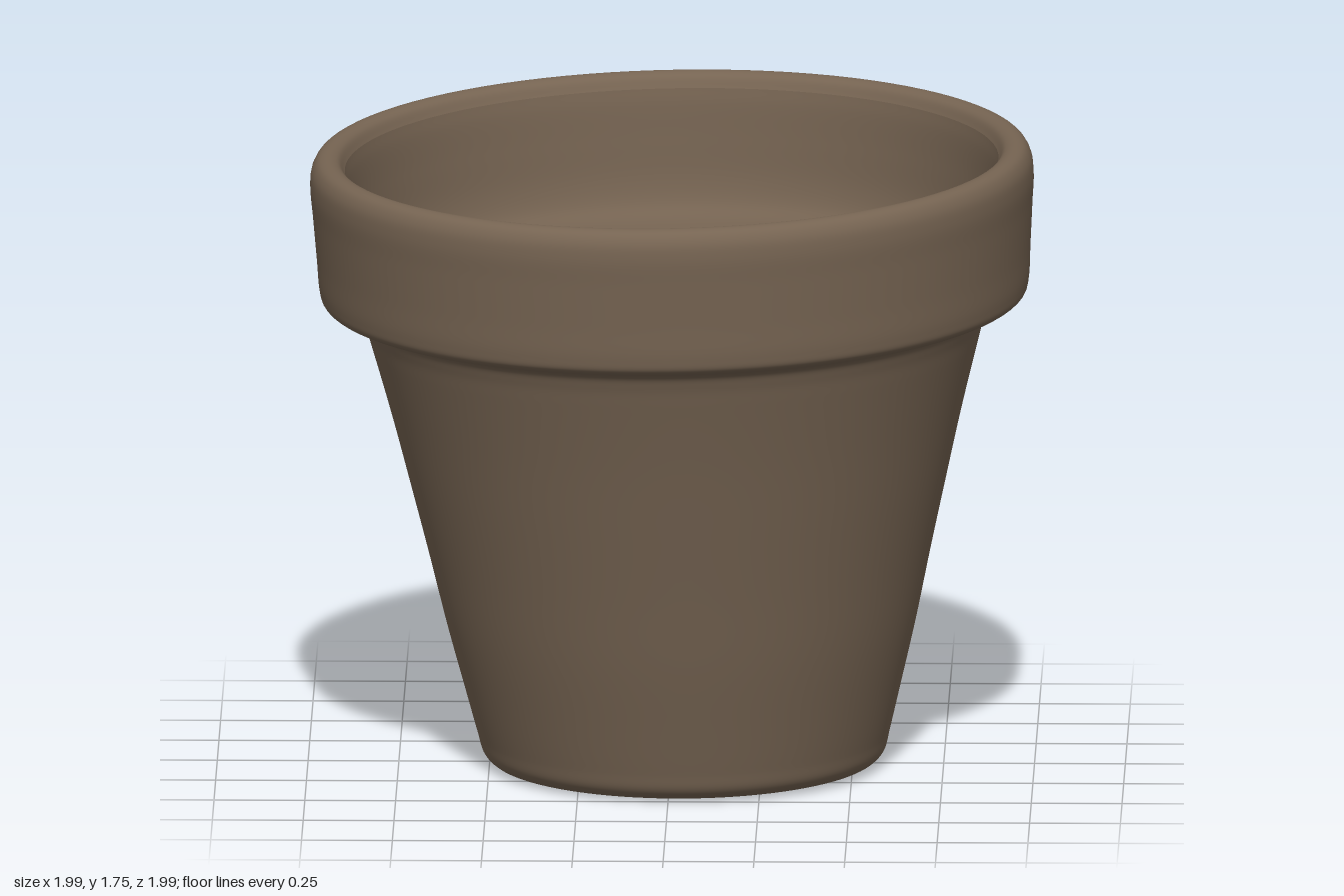
import * as THREE from 'three';

export function createModel() {
  const group = new THREE.Group();
  group.name = 'flowerPot';
  const clay = new THREE.MeshStandardMaterial({ color: 0x766452 });
  clay.name = 'brown clay';

  // Smooth profile through [radius, height] points
  const smooth = (pts, n) =>
    new THREE.CatmullRomCurve3(pts.map(([r, y]) => new THREE.Vector3(r, y, 0)))
      .getPoints(n).map(p => new THREE.Vector2(p.x, p.y));

  // Turn a profile, then lean it slightly as if shaped by hand
  const turned = (name, profile) => {
    const geo = new THREE.LatheGeometry(profile, 96);
    const pos = geo.attributes.position;
    for (let i = 0; i < pos.count; i++) {
      const x = pos.getX(i), y = pos.getY(i), z = pos.getZ(i);
      const t = y / 1.73;
      pos.setXYZ(i,
        x + 0.036 * (1 - t),
        y + x * (0.007 + 0.014 * t) - z * 0.012 * t,
        z - 0.022 * (1 - t) - 0.004 * t);
    }
    const mesh = new THREE.Mesh(geo, clay);
    mesh.name = name;
    group.add(mesh);
  };

  // Underside with a shallow recess around the drain hole
  turned('underside', smooth([
    [0.105, 0.035], [0.2, 0.035], [0.34, 0.033], [0.38, 0.022], [0.42, 0.01],
    [0.46, 0.006], [0.5, 0.007]], 40));

  // Tapered outer wall, collar and rounded lip
  turned('outerWallAndRim', smooth([
    [0.5, 0.007], [0.53, 0.016], [0.553, 0.04], [0.567, 0.09], [0.6, 0.22],
    [0.645, 0.4], [0.69, 0.6], [0.737, 0.8], [0.785, 1.0], [0.835, 1.19],
    [0.852, 1.25], [0.868, 1.285], [0.9, 1.303], [0.945, 1.312], [0.969, 1.328],
    [0.977, 1.36], [0.983, 1.45], [0.991, 1.57], [0.996, 1.65], [0.99, 1.695],
    [0.972, 1.722], [0.945, 1.73], [0.918, 1.72], [0.9, 1.69]], 140));

  // Inner wall with a soft shoulder, running into the floor
  turned('innerWallAndFloor', smooth([
    [0.9, 1.69], [0.893, 1.65], [0.884, 1.55], [0.872, 1.44], [0.855, 1.38],
    [0.825, 1.33], [0.795, 1.25], [0.74, 1.05], [0.68, 0.8], [0.61, 0.5],
    [0.545, 0.25], [0.515, 0.165], [0.475, 0.128], [0.42, 0.12], [0.25, 0.12],
    [0.105, 0.12]], 100));

  // Wall of the drain hole
  turned('drainHole', [
    new THREE.Vector2(0.105, 0.12), new THREE.Vector2(0.1, 0.11),
    new THREE.Vector2(0.1, 0.045), new THREE.Vector2(0.105, 0.035)]);

  return group;
}
